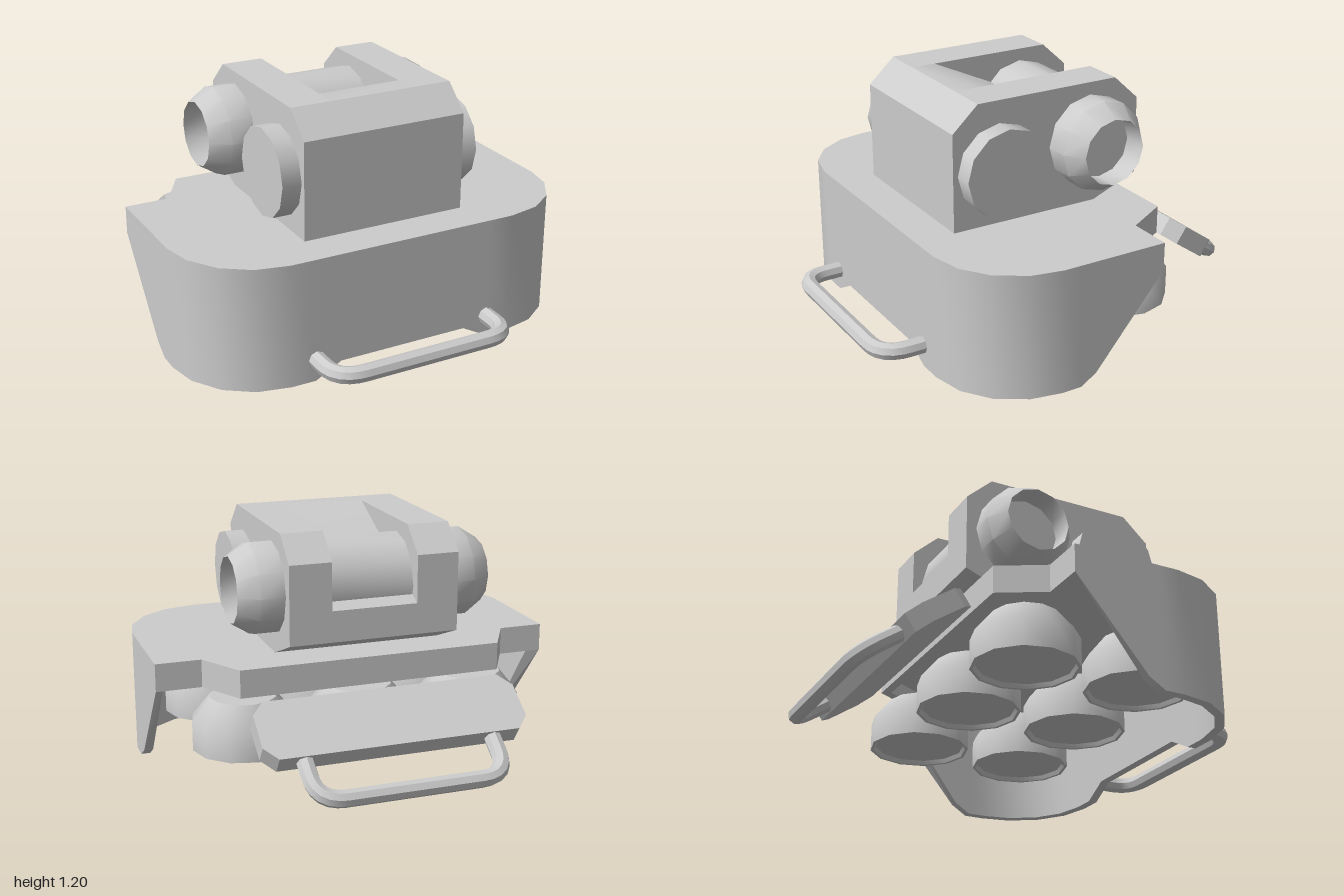
import * as THREE from 'three';
import { toCreasedNormals } from 'three/addons/utils/BufferGeometryUtils.js';

const grey = new THREE.MeshStandardMaterial({ color: 0xcccccc });
grey.name = 'plain grey';

function add(parent, name, geometry, crease = 0.65) {
  const mesh = new THREE.Mesh(toCreasedNormals(geometry, crease), grey);
  mesh.name = name;
  parent.add(mesh);
  return mesh;
}

const v2 = (points) => points.map(([a, b]) => new THREE.Vector2(a, b));
const lathe = (points) => new THREE.LatheGeometry(v2(points), 12);

// Horizontal outline of [x, z] points as a face looking up or down
function flatFace(points, y, up) {
  const s = up ? -1 : 1;
  const shape = new THREE.Shape(v2(points.map(([x, z]) => [x, s * z])));
  return new THREE.ShapeGeometry(shape).rotateX(s * Math.PI / 2).translate(0, y, 0);
}

// Side profile of [z, y] points, extruded from x0 to x1
function sideExtrude(points, x0, x1) {
  const shape = new THREE.Shape(v2(points.map(([z, y]) => [-z, y])));
  return new THREE.ExtrudeGeometry(shape, { depth: x1 - x0, bevelEnabled: false })
    .rotateY(Math.PI / 2).translate(x0, 0, 0);
}

// Hollow base: a wall swept round the outline, closed by a lid and a ceiling
const top = 0.605, ceiling = 0.55, wall = 0.045;
const half = [ // [x, z, bottom y]
  [0.33, 0.745, 0.07], [0.46, 0.745, 0], [0.58, 0.745, 0], [0.74, 0.71, 0], [0.87, 0.62, 0],
  [0.96, 0.48, 0], [0.99, 0.33, 0], [0.99, 0.23, 0], [0.99, 0.15, 0.05],
  [0.99, -0.205, 0.47], [0.77, -0.205, 0.47], [0.645, -0.425, 0.47],
];
const outline = [...half.map(([x, z, y]) => [-x, z, y]).reverse(), ...half];

function insetOutline(points, t) {
  const n = points.length;
  const inward = (a, b) => new THREE.Vector2(b[1] - a[1], a[0] - b[0]).normalize();
  return points.map((p, i) => {
    const a = inward(points[(i + n - 1) % n], p);
    const b = inward(p, points[(i + 1) % n]);
    const k = t / (1 + a.dot(b));
    return [p[0] + (a.x + b.x) * k, p[1] + (a.y + b.y) * k, p[2]];
  });
}

function wallGeometry(outer, inner) {
  const position = [], index = [], n = outer.length;
  outer.forEach(([x, z, y], i) => {
    const [u, w] = inner[i];
    position.push(x, top, z, x, y, z, u, y, w, u, ceiling, w);
    const j = (i + 1) % n;
    for (let k = 0; k < 3; k++) {
      const a = i * 4 + k, d = j * 4 + k;
      index.push(a, a + 1, d + 1, a, d + 1, d);
    }
  });
  const g = new THREE.BufferGeometry();
  g.setAttribute('position', new THREE.Float32BufferAttribute(position, 3));
  g.setIndex(index);
  g.computeVertexNormals();
  return g;
}

// U-shaped grab bar lying flat, reaching along +z from z = 0
function handleGeometry(reach) {
  const w = 0.455, r = 0.13;
  const v = (x, z) => new THREE.Vector3(x, 0, z);
  const path = new THREE.CurvePath();
  path.add(new THREE.LineCurve3(v(-w, -0.03), v(-w, reach - r)));
  path.add(new THREE.QuadraticBezierCurve3(v(-w, reach - r), v(-w, reach), v(r - w, reach)));
  path.add(new THREE.LineCurve3(v(r - w, reach), v(w - r, reach)));
  path.add(new THREE.QuadraticBezierCurve3(v(w - r, reach), v(w, reach), v(w, reach - r)));
  path.add(new THREE.LineCurve3(v(w, reach - r), v(w, -0.03)));
  return new THREE.TubeGeometry(path, 36, 0.041, 8, false);
}

export function createModel() {
  const model = new THREE.Group();
  model.name = 'model';

  const base = new THREE.Group();
  base.name = 'base';
  model.add(base);
  const inner = insetOutline(outline, wall);
  add(base, 'baseWall', wallGeometry(outline, inner));
  add(base, 'baseLid', flatFace(outline, top, true));
  add(base, 'baseCeiling', flatFace(inner, ceiling, false));

  // Six round feet under the base
  const foot = lathe([[0, 0.19], [0.225, 0.19], [0.235, 0.17], [0.25, 0.17],
    [0.25, 0.31], [0.16, 0.42], [0, 0.42]]);
  for (const x of [-0.58, 0, 0.58]) {
    for (const z of [-0.23, 0.35]) add(model, 'foot', foot, 0.9).position.set(x, 0, z);
  }

  // Housing: two cheeks and a middle with a ramp cut into its back
  const housing = new THREE.Group();
  housing.name = 'housing';
  model.add(housing);
  const front = [[-0.2, 0.6], [0.55, 0.6], [0.55, 1.08], [0.42, 1.2]];
  const cheek = [...front, [-0.32, 1.2], [-0.45, 1.08], [-0.45, 0.7]];
  const middle = [...front, [0.3, 1.2], [-0.45, 0.85], [-0.45, 0.7]];
  add(housing, 'rightCheek', sideExtrude(cheek, -0.415, -0.21));
  add(housing, 'leftCheek', sideExtrude(cheek, 0.21, 0.415));
  add(housing, 'housingMiddle', sideExtrude(middle, -0.21, 0.21));

  // Rollers across the housing
  const roller = (r, length) => new THREE.CylinderGeometry(r, r, length, 12).rotateZ(-Math.PI / 2);
  add(model, 'frontRoller', roller(0.216, 1.02)).position.set(0, 0.875, 0.31);
  add(model, 'rearRoller', roller(0.22, 0.82)).position.set(0, 0.92, -0.18);

  // Hollow end cups of the rear roller
  const cup = lathe([[0.22, 0.4], [0.22, 0.53], [0.16, 0.625], [0.16, 0.5], [0, 0.5]])
    .rotateZ(-Math.PI / 2);
  for (const turn of [0, Math.PI]) {
    const mesh = add(model, 'endCup', cup);
    mesh.position.set(0, 0.92, -0.18);
    mesh.rotation.y = turn;
  }

  // Front grab bar
  add(model, 'frontHandle', handleGeometry(0.21)).position.set(0, 0.11, 0.74);

  // Tilted rear plate with its grab bar
  const rear = new THREE.Group();
  rear.name = 'rearPlateAssembly';
  rear.position.set(0, 0.362, -0.657);
  rear.rotation.x = -0.605;
  model.add(rear);
  const corner = [[0.58, 0.158], [0.64, 0.09], [0.64, -0.09], [0.58, -0.158]];
  const plate = new THREE.Shape(v2([...corner, ...corner.map(([x, z]) => [-x, z]).reverse()]));
  add(rear, 'rearPlate', new THREE.ExtrudeGeometry(plate, { depth: 0.094, bevelEnabled: false })
    .rotateX(Math.PI / 2).translate(0, 0.047, 0));
  const rearHandle = add(rear, 'rearHandle', handleGeometry(0.215));
  rearHandle.position.z = -0.155;
  rearHandle.rotation.y = Math.PI;

  return model;
}
